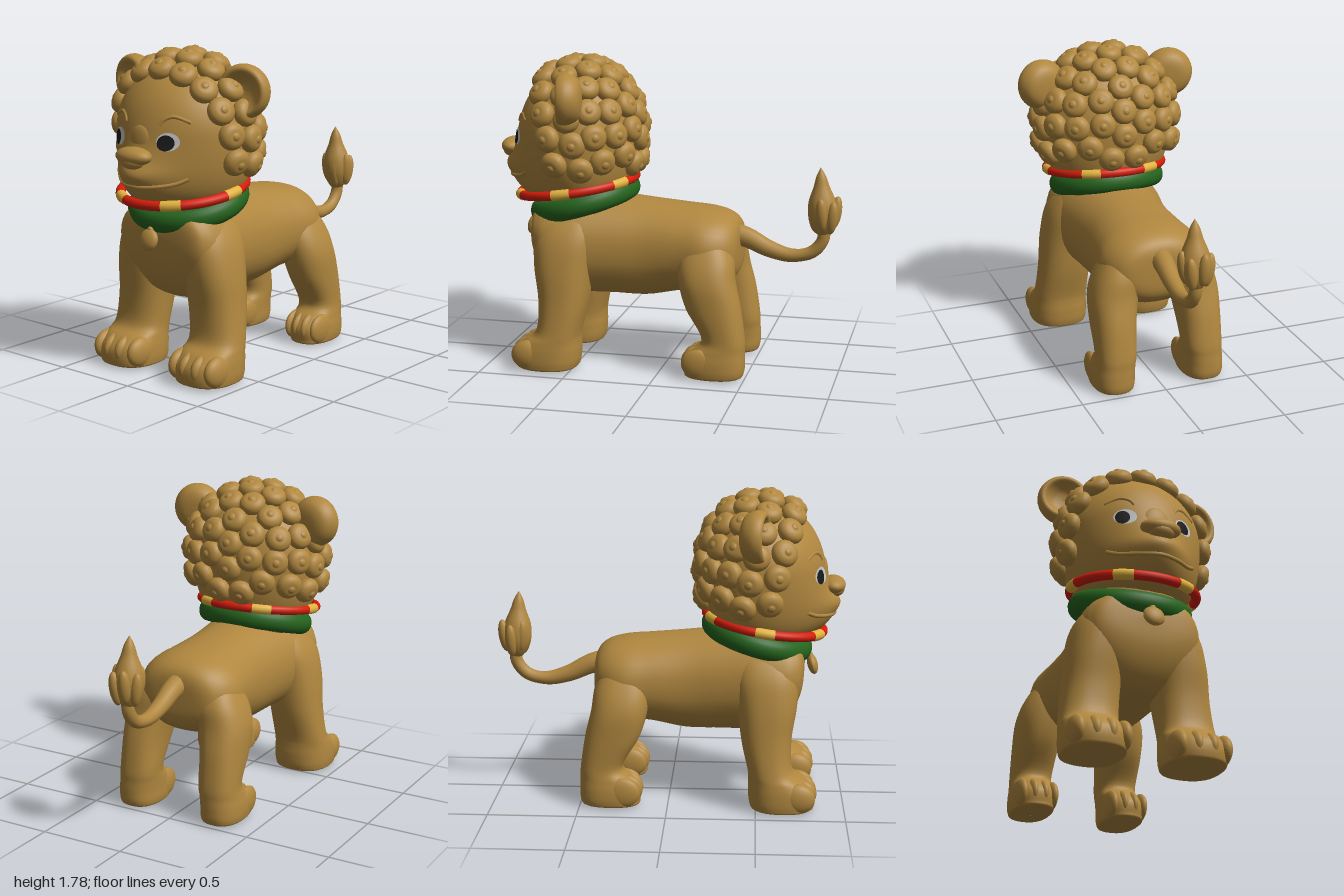
import * as THREE from 'three';
import { mergeVertices } from 'three/addons/utils/BufferGeometryUtils.js';

const mat = (name, color) => Object.assign(new THREE.MeshStandardMaterial({ color }), { name });
const V = (x, y, z) => new THREE.Vector3(x, y, z);

// Smooth skin through rows [along, centreX, centre2, radiusX, radius2], along 'y' or 'z'
function loft(rows, axis, power = 2.4, sides = 36) {
  const centres = new THREE.CatmullRomCurve3(rows.map(r => V(r[0], r[1], r[2])), false, 'catmullrom');
  const radii = new THREE.CatmullRomCurve3(rows.map(r => V(r[3], r[4], 0)), false, 'catmullrom');
  const steps = (rows.length - 1) * 5, pos = [], idx = [];
  const round = v => Math.sign(v) * Math.abs(v) ** (2 / power);
  for (let i = 0; i <= steps; i++) {
    const c = centres.getPoint(i / steps), r = radii.getPoint(i / steps);
    for (let j = 0; j < sides; j++) {
      const a = j / sides * Math.PI * 2;
      const u = c.y + Math.max(r.x, 0) * round(Math.cos(a));
      const v = Math.max(r.y, 0) * round(Math.sin(a));
      if (axis === 'y') pos.push(u, c.x, c.z + v);
      else pos.push(u, c.z - v, c.x);
      if (i < steps) {
        const k = (j + 1) % sides, p = i * sides, q = p + sides;
        idx.push(p + j, q + j, p + k, p + k, q + j, q + k);
      }
    }
  }
  const g = new THREE.BufferGeometry();
  g.setAttribute('position', new THREE.Float32BufferAttribute(pos, 3));
  g.setIndex(idx);
  g.computeVertexNormals();
  return g;
}

// Head surface: an egg with a full jaw, a muzzle bulge and a soft upper lip
const bump = (x, y, h, cy, sx, sy) => h * Math.exp(-((x / sx) ** 2) - ((y - cy) / sy) ** 2);
const muzzle = (x, y) => bump(x, y, 0.1, 1.09, 0.23, 0.18) + bump(x, y, 0.025, 1.145, 0.15, 0.05);
const girth = dy => Math.max(0, 1 - dy * dy) ** (dy > 0 ? 0.5 : 0.2);
function headPoint(d) {
  const len = Math.hypot(d.x, d.z) || 1, h = girth(d.y), uz = d.z / len;
  const x = 0.395 * h * d.x / len, y = 1.34 + d.y * (d.y > 0 ? 0.38 : 0.41);
  return V(x, y, 0.5 + (uz > 0 ? 0.37 : 0.315) * h * uz + muzzle(x, y) * Math.max(0, uz));
}
function faceZ(x, y) {
  const h = girth((y - 1.34) / (y > 1.34 ? 0.38 : 0.41));
  const c = Math.sqrt(Math.max(0, 1 - (x / (0.395 * h)) ** 2));
  return 0.5 + 0.37 * h * c + muzzle(x, y) * c;
}

export function createModel() {
  const model = new THREE.Group();
  const fur = mat('golden brown', 0xb0873f), red = mat('red', 0xd61d08), green = mat('green', 0x26651e);
  const yellow = mat('yellow', 0xe4b440), white = mat('eye white', 0xc8c8c8), black = mat('pupil black', 0x1a1a1c);

  const add = (name, geo, material = fur, parent = model) => {
    const m = new THREE.Mesh(geo, material);
    m.name = name;
    parent.add(m);
    return m;
  };
  const blob = (name, p, r, parent = model) => {
    const m = add(name, new THREE.SphereGeometry(1, 24, 16), fur, parent);
    m.position.set(...p);
    m.scale.set(...r);
    return m;
  };
  const lathe = (pts, n = 28) => new THREE.LatheGeometry(
    new THREE.SplineCurve(pts.map(p => new THREE.Vector2(...p))).getPoints(pts.length * 3)
      .map(p => p.setX(Math.max(0, p.x))), n);

  // Body and neck
  add('body', loft([
    [-0.43, 0, 0.7, 0.001, 0.001], [-0.42, 0, 0.7, 0.18, 0.13], [-0.36, 0, 0.695, 0.265, 0.2],
    [-0.25, 0, 0.69, 0.31, 0.235], [-0.1, 0, 0.69, 0.295, 0.25], [0.1, 0, 0.68, 0.285, 0.28],
    [0.3, 0, 0.69, 0.305, 0.29], [0.5, 0, 0.7, 0.335, 0.3], [0.62, 0, 0.71, 0.34, 0.285],
    [0.7, 0, 0.74, 0.315, 0.235], [0.755, 0, 0.78, 0.24, 0.145], [0.775, 0, 0.8, 0.001, 0.001]], 'z', 2.2));
  blob('neck', [0, 0.95, 0.5], [0.29, 0.14, 0.27]);

  // Legs with paws and toes
  const frontRows = [
    [0, 0.28, 0.65, 0.001, 0.001], [0.006, 0.28, 0.65, 0.145, 0.155], [0.035, 0.28, 0.65, 0.17, 0.185],
    [0.11, 0.28, 0.645, 0.172, 0.188], [0.17, 0.28, 0.62, 0.165, 0.162], [0.23, 0.277, 0.58, 0.158, 0.127],
    [0.4, 0.26, 0.557, 0.155, 0.142], [0.6, 0.24, 0.56, 0.155, 0.168], [0.77, 0.205, 0.55, 0.148, 0.18],
    [0.89, 0.165, 0.53, 0.1, 0.13], [0.93, 0.15, 0.52, 0.001, 0.001]];
  const hindRows = [
    [0, 0.27, -0.32, 0.001, 0.001], [0.006, 0.27, -0.32, 0.1, 0.145], [0.035, 0.27, -0.325, 0.12, 0.17],
    [0.1, 0.27, -0.325, 0.122, 0.174], [0.16, 0.265, -0.345, 0.118, 0.152], [0.23, 0.26, -0.375, 0.115, 0.12],
    [0.4, 0.255, -0.315, 0.125, 0.155], [0.55, 0.238, -0.275, 0.138, 0.16], [0.68, 0.195, -0.26, 0.135, 0.155],
    [0.79, 0.15, -0.25, 0.1, 0.1], [0.82, 0.13, -0.25, 0.001, 0.001]];
  for (const s of [1, -1]) {
    for (const [name, rows, x, z, gap] of [['front', frontRows, 0.28, 0.75, 0.084], ['hind', hindRows, 0.27, -0.235, 0.06]]) {
      add(name + 'Leg', loft(rows.map(r => [r[0], r[1] * s, ...r.slice(2)]), 'y', 2.4));
      for (let i = -1.5; i < 2; i++)
        blob(name + 'Toe', [s * x + i * gap, 0.095, z - Math.abs(i) * 0.012], [gap * 0.56, 0.086, 0.1]);
    }
  }

  // Head
  const head = new THREE.SphereGeometry(1, 80, 72);
  head.deleteAttribute('uv');
  head.deleteAttribute('normal');
  const hp = head.attributes.position;
  for (let i = 0; i < hp.count; i++) {
    const p = headPoint(V().fromBufferAttribute(hp, i));
    hp.setXYZ(i, p.x, p.y, p.z);
  }
  const headSkin = mergeVertices(head, 1e-5);
  headSkin.computeVertexNormals();
  add('head', headSkin);

  // Lines of raised skin and thin eye plates following the face
  const faceLine = (name, pts, r) => add(name, new THREE.TubeGeometry(new THREE.CatmullRomCurve3(
    pts.map(([x, y]) => V(x, y, faceZ(x, y) - r * 0.3))), 32, r, 8));
  const patch = (name, x, y, rx, ry, lift, material) => {
    const g = new THREE.CircleGeometry(1, 32), p = g.attributes.position;
    for (let i = 0; i < p.count; i++) {
      const px = x + p.getX(i) * rx, py = y + p.getY(i) * ry;
      p.setXYZ(i, px, py, faceZ(px, py) + lift);
    }
    g.computeVertexNormals();
    add(name, g, material);
  };
  blob('nose', [0, 1.24, 0.925], [0.115, 0.05, 0.07]);
  blob('noseTip', [0, 1.215, 0.93], [0.075, 0.045, 0.06]);
  blob('noseBridge', [0, 1.29, 0.865], [0.085, 0.11, 0.03]);
  faceLine('lowerLip', [[-0.25, 1.125], [-0.2, 1.1], [-0.1, 1.083], [0, 1.08], [0.1, 1.083], [0.2, 1.1], [0.25, 1.125]], 0.012);
  for (const s of [1, -1]) {
    faceLine('brow', [[s * 0.115, 1.403], [s * 0.135, 1.432], [s * 0.18, 1.45], [s * 0.26, 1.422]], 0.011);
    patch('eyeWhite', s * 0.17, 1.322, 0.057, 0.048, 0.005, white);
    patch('pupil', s * 0.174 - 0.011, 1.316, 0.039 + s * 0.004, 0.041, 0.009, black);
  }

  // Ears: thick cups turned outward
  const earCup = lathe([[0, -0.085], [0.07, -0.08], [0.12, -0.055], [0.146, 0], [0.136, 0.046],
    [0.112, 0.054], [0.087, 0.03], [0.05, 0.005], [0, -0.002]], 36).rotateX(Math.PI / 2);
  for (const s of [1, -1]) {
    const ear = add('ear', earCup);
    ear.position.set(s * 0.392, 1.57, 0.485);
    ear.rotation.y = s * 0.22;
  }

  // Mane: rings of button curls around the face axis
  const curl = lathe([[0.06, -0.035], [0.076, -0.005], [0.068, 0.026], [0.045, 0.043], [0.022, 0.047],
    [0.014, 0.053], [0, 0.056]], 20);
  const axis = V(0, -0.29, 0.96).normalize(), up = V(0, 0.96, 0.29).normalize();
  const mane = new THREE.Group();
  mane.name = 'mane';
  model.add(mane);
  for (let ring = 0; ring < 6; ring++) {
    const t = THREE.MathUtils.degToRad(76 + ring * 20.8);
    const n = Math.max(1, Math.round(Math.PI * 2 * Math.sin(t) * 0.4 / 0.145));
    for (let i = 0; i < n; i++) {
      const a = (i + (ring % 2) / 2) / n * Math.PI * 2;
      const d = axis.clone().multiplyScalar(Math.cos(t))
        .addScaledVector(up, Math.sin(t) * Math.cos(a)).add(V(Math.sin(t) * Math.sin(a), 0, 0));
      if (d.y < -0.52) continue;
      const normal = V(d.x / 0.4, d.y / 0.38, d.z / 0.34).normalize();
      const m = add('curl', curl, fur, mane);
      m.position.copy(headPoint(d)).addScaledVector(normal, 0.016);
      m.quaternion.setFromUnitVectors(V(0, 1, 0), normal);
    }
  }

  // Green collar
  const band = add('greenCollar', new THREE.TorusGeometry(1, 0.2, 20, 64).rotateX(Math.PI / 2), green);
  band.scale.set(0.288, 0.33, 0.272);
  band.position.set(0, 0.942, 0.497);
  band.rotation.x = 0.28;

  // Red cord with yellow sleeves
  const cord = new THREE.Group();
  cord.name = 'redCollar';
  cord.position.set(0, 1.025, 0.54);
  cord.rotation.x = 0.155;
  model.add(cord);
  const arc = (from, to, n, closed) => new THREE.CatmullRomCurve3(Array.from({ length: n }, (_, i) => {
    const a = from + (to - from) * i / (closed ? n : n - 1);
    return V(Math.sin(a) * 0.348, 0, Math.cos(a) * 0.337);
  }), closed);
  add('redCord', new THREE.TubeGeometry(arc(0, Math.PI * 2, 32, true), 96, 0.027, 12, true), red, cord);
  for (let i = 0; i < 6; i++) {
    const a = Math.PI / 6 + i * Math.PI / 3;
    add('yellowSleeve', new THREE.TubeGeometry(arc(a - 0.155, a + 0.155, 5, false), 8, 0.03, 12), yellow, cord);
  }

  // Bell
  const bell = new THREE.Group();
  bell.name = 'bell';
  bell.position.set(0, 0.772, 0.818);
  bell.rotation.x = -0.25;
  model.add(bell);
  blob('bellBall', [0, 0, 0], [0.06, 0.06, 0.03], bell);
  add('bellRim', new THREE.TorusGeometry(0.054, 0.007, 8, 32), fur, bell);
  blob('bellLoop', [0, 0.055, 0], [0.018, 0.018, 0.016], bell);

  // Tapering tail
  const path = new THREE.CatmullRomCurve3([V(0, 0.78, -0.36), V(0, 0.755, -0.46), V(0, 0.695, -0.59),
    V(0, 0.665, -0.72), V(0, 0.69, -0.83), V(0, 0.76, -0.89), V(0, 0.85, -0.9)]);
  const tail = new THREE.TubeGeometry(path, 40, 0.065, 14), tp = tail.attributes.position;
  for (let i = 0; i < tp.count; i++) {
    const u = Math.floor(i / 15) / 40;
    const p = V().fromBufferAttribute(tp, i).lerp(path.getPointAt(u), 0.45 * Math.min(1, u * 1.6));
    tp.setXYZ(i, p.x, p.y, p.z);
  }
  add('tail', tail);

  // Tail tuft: flame-shaped core with lobes
  const tuft = add('tailTuft', lathe([[0, 0], [0.045, 0.03], [0.08, 0.11], [0.078, 0.2],
    [0.045, 0.29], [0.027, 0.35], [0, 0.4]], 20));
  tuft.position.set(0, 0.78, -0.895);
  tuft.rotation.x = 0.06;
  for (let i = 0; i < 6; i++) {
    const a = i / 6 * Math.PI * 2 + 0.3;
    const lobe = blob('tuftLobe', [Math.sin(a) * 0.065, 0.9 + (i % 2) * 0.02, -0.9 + Math.cos(a) * 0.06], [0.034, 0.095, 0.034]);
    lobe.rotation.set(Math.cos(a) * 0.15, 0, -Math.sin(a) * 0.15);
  }
  return model;
}
